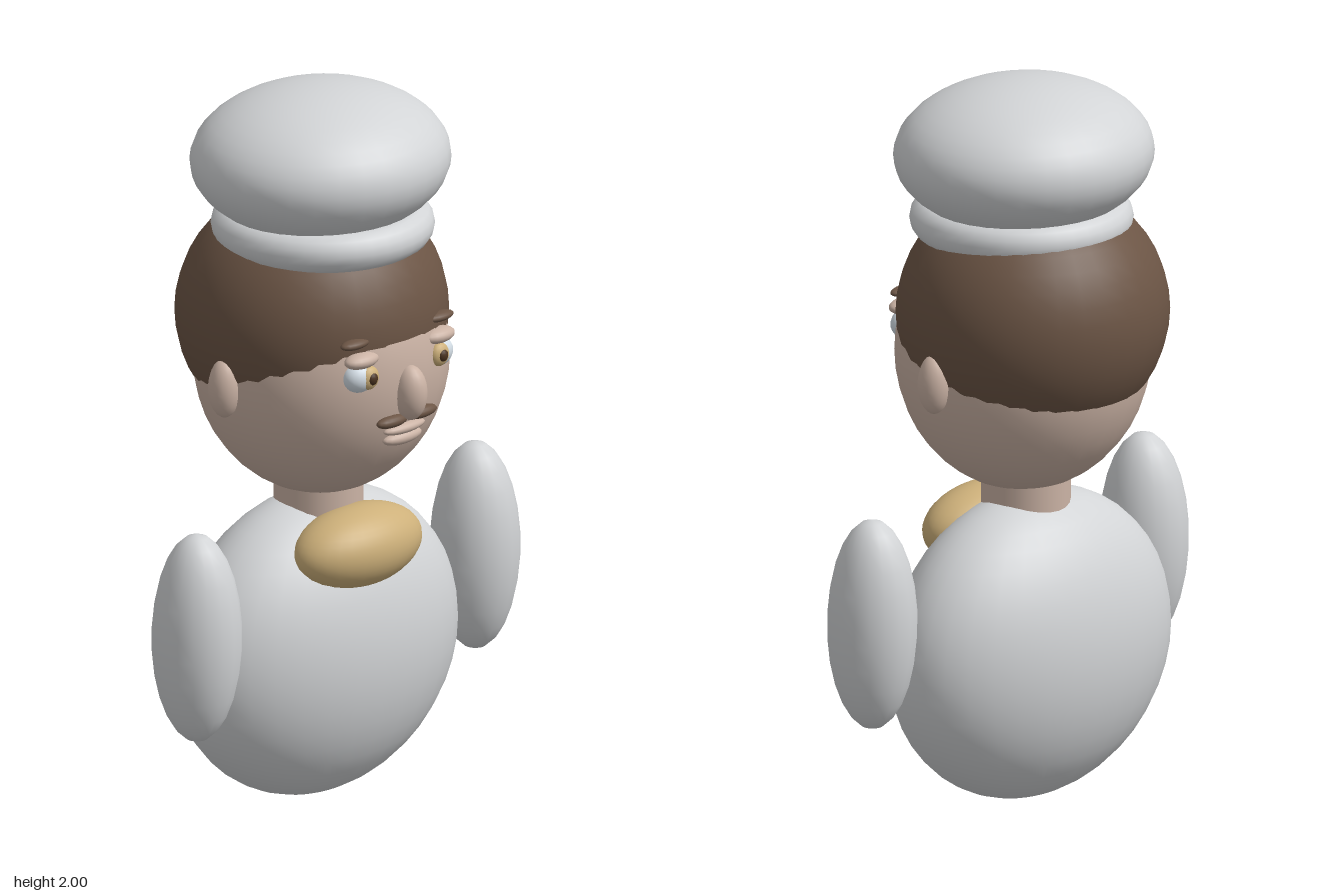
import * as THREE from 'three';

const mat = (name, color) => {
  const m = new THREE.MeshStandardMaterial({ color });
  m.name = name;
  return m;
};

export function createModel() {
  const white = mat('white cloth', 0xd2d4d6);
  const skin = mat('skin', 0xcbb3a5);
  const hair = mat('brown hair', 0x6c5545);
  const gold = mat('gold', 0xcdb07a);
  const eyeWhite = mat('eye white', 0xd8e2ea);
  const dark = mat('dark pupil', 0x4a3320);

  const model = new THREE.Group();
  model.name = 'cookBust';

  const add = (name, geometry, material, pos) => {
    const mesh = new THREE.Mesh(geometry, material);
    mesh.name = name;
    mesh.position.set(...pos);
    model.add(mesh);
    return mesh;
  };
  // Smooth ellipsoid from a centre and three radii
  const blob = (name, material, pos, radii, seg = 32) =>
    add(name, new THREE.SphereGeometry(1, seg, Math.round(seg * 0.7)).scale(...radii), material, pos);
  // Mirrored pair, left is +x
  const pair = (name, material, [x, y, z], radii, seg) => {
    blob('left' + name, material, [x, y, z], radii, seg);
    blob('right' + name, material, [-x, y, z], radii, seg);
  };

  // Torso, arms and neckerchief
  blob('torso', white, [0, 0.43, -0.018], [0.47, 0.425, 0.268]);
  pair('Arm', white, [0.523, 0.583, 0.062], [0.121, 0.293, 0.123], 18);
  blob('neckerchief', gold, [0, 0.733, 0.14], [0.215, 0.112, 0.123]);
  add('neck', new THREE.CylinderGeometry(0.12, 0.12, 0.2, 24), skin, [0, 0.86, -0.005]);

  // Head, with the hair as an overlapping cap set higher and further back
  blob('head', skin, [0, 1.25, 0.005], [0.35, 0.385, 0.34]);
  blob('hair', hair, [0, 1.365, -0.03], [0.374, 0.353, 0.36]);
  pair('Ear', skin, [0.353, 1.232, -0.004], [0.046, 0.083, 0.044], 18);

  // Face
  blob('nose', skin, [0, 1.218, 0.343], [0.045, 0.077, 0.049], 18);
  pair('Eye', eyeWhite, [0.145, 1.287, 0.295], [0.051, 0.043, 0.04], 20);
  pair('Iris', gold, [0.132, 1.287, 0.32], [0.032, 0.033, 0.021], 16);
  pair('Pupil', dark, [0.132, 1.287, 0.333], [0.017, 0.018, 0.013], 14);
  pair('Eyelid', skin, [0.143, 1.335, 0.303], [0.057, 0.022, 0.033], 18);
  pair('Eyebrow', hair, [0.158, 1.382, 0.293], [0.05, 0.014, 0.024], 16);
  pair('Moustache', hair, [0.054, 1.147, 0.33], [0.056, 0.017, 0.022], 16);
  blob('upperLip', skin, [0, 1.115, 0.32], [0.075, 0.016, 0.024], 18);
  blob('lowerLip', skin, [0, 1.086, 0.312], [0.07, 0.02, 0.026], 18);

  // Hat: rolled band and puffed crown
  add('hatBand', new THREE.TorusGeometry(0.245, 0.055, 16, 40).rotateX(Math.PI / 2), white, [0, 1.618, 0.012]);
  blob('hatCrown', white, [0, 1.8, 0.003], [0.362, 0.2, 0.338]);

  return model;
}
